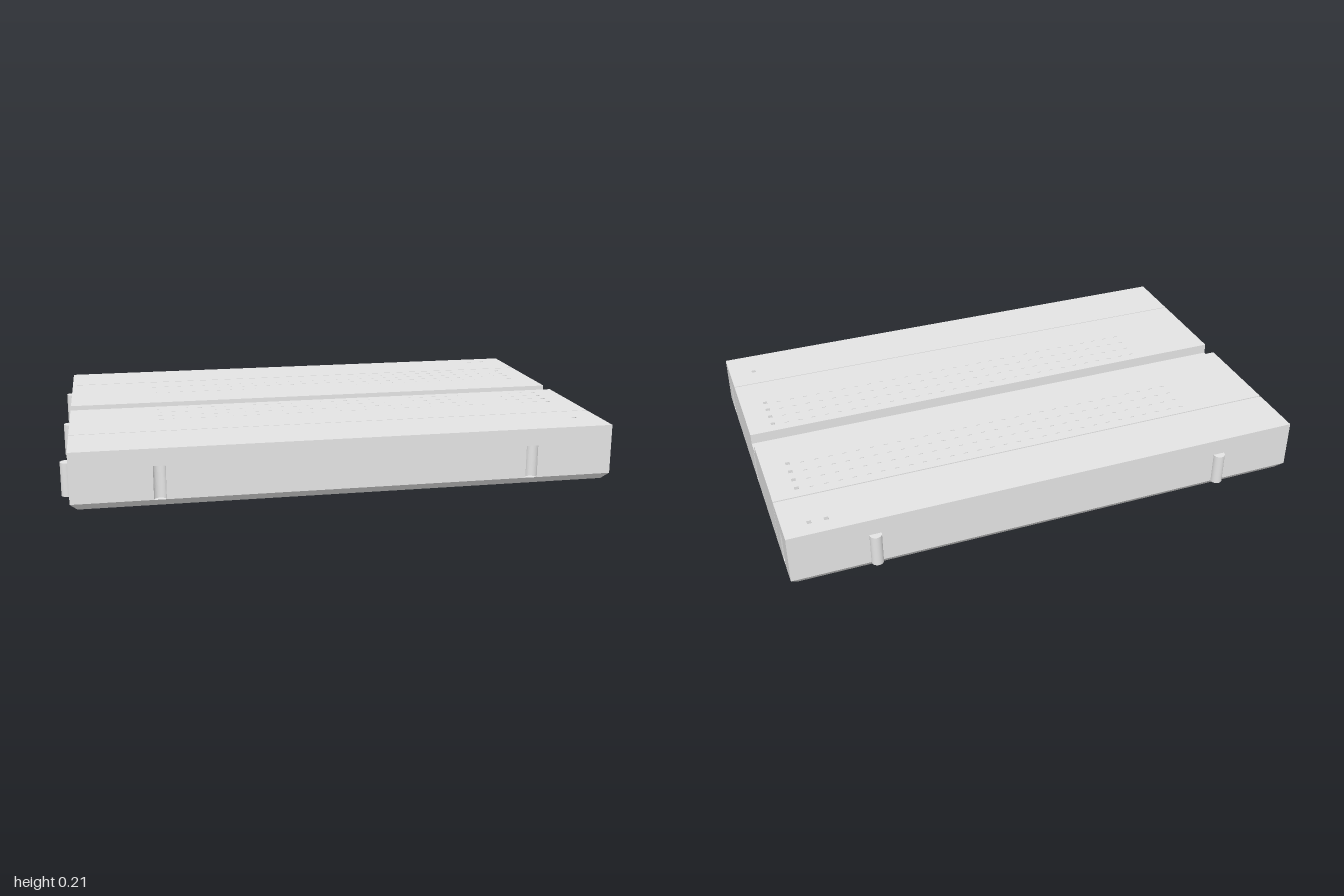
import * as THREE from 'three';

export function createModel() {
  const model = new THREE.Group();
  model.name = 'breadboard';
  const grey = new THREE.MeshStandardMaterial({ color: 0xe4e4e4 });
  grey.name = 'light grey plastic';
  const gold = new THREE.MeshStandardMaterial({ color: 0xc5a244 });
  gold.name = 'gold backing';

  const X0 = -0.97, X1 = 1.0, R = 0.022, HOLE = 0.008;
  const baseTop = 0.025, slotTop = 0.147, channelFloor = 0.17, holeFloor = 0.188, top = 0.21;
  const sideZ = [0.53, 0.01, -0.505];
  const endX = [-0.662, 0.692];

  function add(name, geometry, material = grey) {
    const mesh = new THREE.Mesh(geometry, material);
    mesh.name = name;
    model.add(mesh);
    return mesh;
  }

  // Slab from a plan outline, with optional slots on the left and front edges and holes
  function slab(name, z0, z1, y0, y1, { side, front = [], holes = [] } = {}) {
    const s = new THREE.Shape();
    s.moveTo(X0, -z1);
    for (const x of front) {
      s.lineTo(x - R, -z1);
      s.absarc(x, -z1, R, Math.PI, 0, true);
    }
    s.lineTo(X1, -z1);
    if (side !== undefined) {
      const a = Math.acos(0.01 / R);
      s.absarc(X1 - 0.01, -side, R, -a, a, true);
    }
    s.lineTo(X1, -z0);
    s.lineTo(X0, -z0);
    s.closePath();
    for (const [x, z, halfDepth = HOLE] of holes) {
      const h = new THREE.Path();
      h.moveTo(x - HOLE, -z - halfDepth);
      h.lineTo(x - HOLE, -z + halfDepth);
      h.lineTo(x + HOLE, -z + halfDepth);
      h.lineTo(x + HOLE, -z - halfDepth);
      h.closePath();
      s.holes.push(h);
    }
    const g = new THREE.ExtrudeGeometry(s, { depth: y1 - y0, bevelEnabled: false, curveSegments: 10 });
    g.rotateX(-Math.PI / 2);
    g.translate(0, y0, 0);
    return add(name, g);
  }

  // Chamfered base with a gold underside
  const zBack = -0.615, zFront = 0.64;
  const base = new THREE.BoxGeometry(X1 - X0, baseTop, zFront - zBack).toNonIndexed();
  const p = base.attributes.position;
  for (let i = 0; i < p.count; i++) {
    if (p.getY(i) < 0) {
      p.setX(i, p.getX(i) - Math.sign(p.getX(i)) * 0.025);
      p.setZ(i, p.getZ(i) - Math.sign(p.getZ(i)) * 0.02);
    }
  }
  base.computeVertexNormals();
  base.translate((X0 + X1) / 2, baseTop / 2, (zFront + zBack) / 2);
  // Box sides come in the order +x, -x, +y, -y, +z, -z
  base.clearGroups();
  for (let i = 0; i < 6; i++) base.addGroup(i * 6, 6, i === 3 ? 1 : 0);
  add('base', base, [grey, gold]);

  // Contact holes: open in the first column, fine slits along the rest of each row
  const grid = (rows) => rows.flatMap((z) => Array.from({ length: 30 }, (_, i) =>
    (i === 0 ? [0.905, z] : [0.905 - i * 0.053, z - 0.008, 0.002])));
  const backRows = [-0.345, -0.292, -0.239, -0.186];
  const frontRows = [0.095, 0.148, 0.201, 0.254];
  const frontRailHoles = [[0.905, 0.512]];
  const backRailHoles = [[0.845, -0.55], [0.905, -0.55]];

  // Power rails, separated from the middle by narrow gaps
  slab('frontRailLower', 0.416, zFront, baseTop, slotTop, { side: sideZ[0], front: endX });
  slab('frontRailUpper', 0.416, zFront, slotTop, holeFloor);
  slab('frontRailTop', 0.416, zFront, holeFloor, top, { holes: frontRailHoles });
  slab('backRailLower', zBack, -0.4, baseTop, slotTop);
  slab('backRailUpper', zBack, -0.4, slotTop, holeFloor);
  slab('backRailTop', zBack, -0.4, holeFloor, top, { holes: backRailHoles });
  model.getObjectByName('backRailLower').removeFromParent();
  slab('backRailLower', zBack, -0.4, baseTop, slotTop, { side: sideZ[2] });

  // Middle block with its central channel
  slab('middleLower', -0.395, 0.412, baseTop, slotTop, { side: sideZ[1] });
  slab('middleUpper', -0.395, 0.412, slotTop, channelFloor);
  for (const [name, z0, z1, rows] of [
    ['frontTerminals', 0.046, 0.412, frontRows],
    ['backTerminals', -0.395, -0.025, backRows],
  ]) {
    slab(name, z0, z1, channelFloor, holeFloor);
    slab(name + 'Top', z0, z1, holeFloor, top, { holes: grid(rows) });
  }

  // Gold backing visible in the open holes
  const open = [...frontRows, ...backRows].map((z) => [0.905, z]);
  for (const [x, z] of [...open, ...frontRailHoles, ...backRailHoles]) {
    const plate = add('holeBacking', new THREE.BoxGeometry(HOLE * 2, 0.004, HOLE * 2), gold);
    plate.position.set(x, holeFloor + 0.002, z);
  }

  // Joining pegs on the right and back edges
  const pegHeight = slotTop - baseTop;
  function peg(name, x, z, r) {
    const mesh = add(name, new THREE.CylinderGeometry(r, r, pegHeight, 24));
    mesh.position.set(x, baseTop + pegHeight / 2, z);
  }
  for (const z of sideZ) peg('sidePeg', -0.979, z, 0.021);
  for (const x of endX) peg('backPeg', x, zBack - 0.003, R);

  return model;
}
